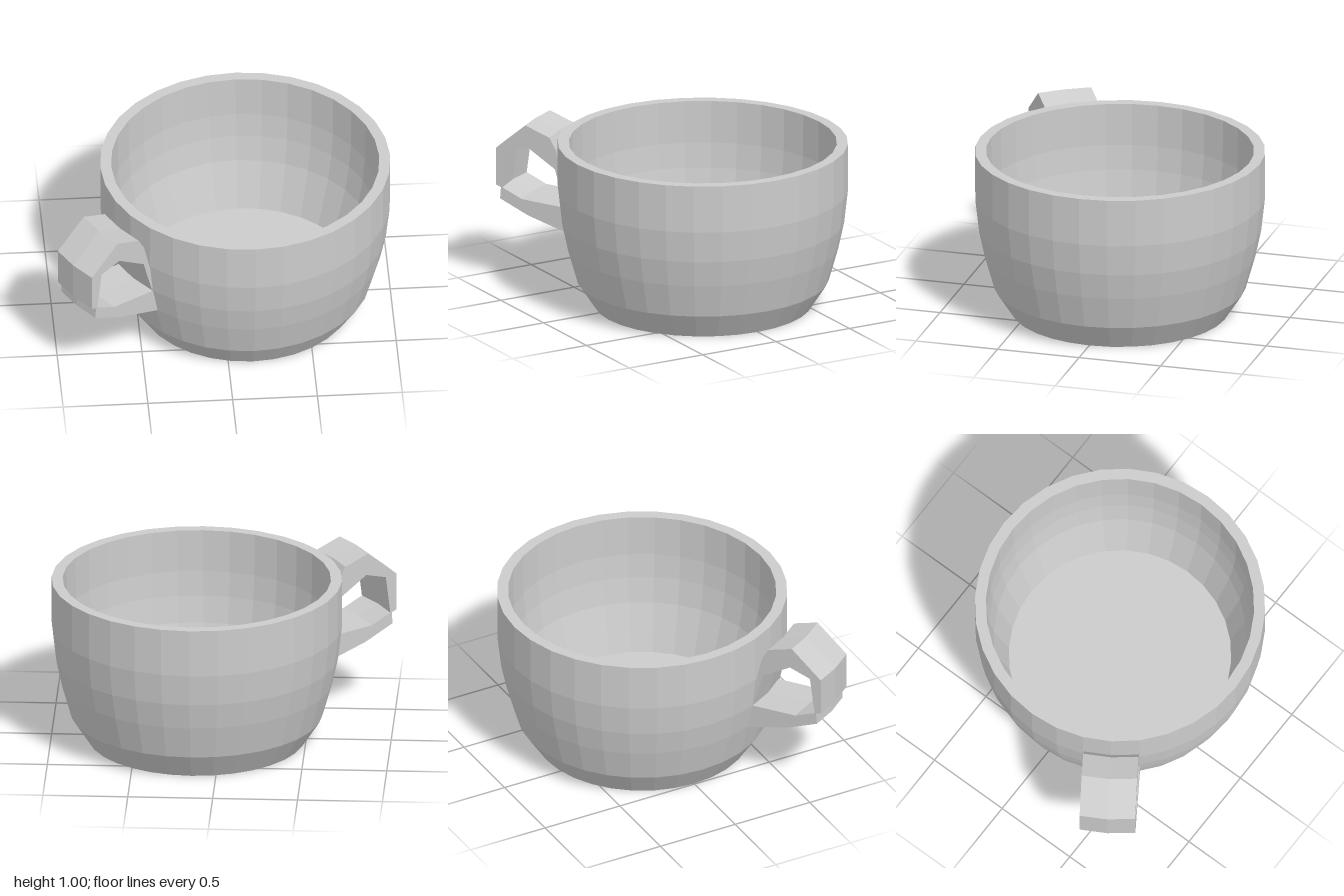
import * as THREE from 'three';

const v2 = (pairs) => pairs.map(([x, y]) => new THREE.Vector2(x, y));

export function createModel() {
  const model = new THREE.Group();
  model.name = 'cup';
  const material = new THREE.MeshStandardMaterial({ color: 0xcccccc, flatShading: true });

  // Bowl: outer wall upwards, flat rim, inner wall down to the deep floor
  const bowlProfile = v2([
    [0, 0], [0.64, 0], [0.742, 0.155], [0.8, 0.36], [0.834, 0.52], [0.855, 0.71], [0.855, 0.995],
    [0.79, 0.995], [0.787, 0.74], [0.773, 0.59], [0.745, 0.43], [0.655, 0.14], [0, 0.14],
  ]);
  const bowl = new THREE.Mesh(new THREE.LatheGeometry(bowlProfile, 32), material);
  bowl.name = 'bowl';
  bowl.position.x = 0.145;
  model.add(bowl);

  // Handle: angular loop (distance from the bowl axis, height), ends sunk in the wall
  const width = 0.327;
  const loop = new THREE.Shape(v2([
    [0.81, 0.71], [0.84, 0.71], [0.88, 0.87], [0.92, 0.94], [1.076, 0.993],
    [1.269, 0.83], [1.269, 0.602], [1.238, 0.59], [1.243, 0.52], [1.06, 0.44], [0.78, 0.36],
    [0.805, 0.52], [1.1, 0.535], [1.228, 0.59], [1.197, 0.82], [1.064, 0.86], [0.884, 0.75],
    [0.82, 0.527],
  ]));
  const handleGeometry = new THREE.ExtrudeGeometry(loop, { depth: width, steps: 2, bevelEnabled: false });
  handleGeometry.translate(0, 0, -width / 2);

  // Push the middle row out slightly so the handle follows the bowl's curve
  const pos = handleGeometry.attributes.position;
  for (let i = 0; i < pos.count; i++) {
    if (Math.abs(pos.getZ(i)) < 0.01) pos.setX(i, pos.getX(i) + 0.013);
  }
  handleGeometry.computeVertexNormals();

  const handle = new THREE.Mesh(handleGeometry, material);
  handle.name = 'handle';
  handle.position.set(0.145, 0, 0.004);
  handle.rotation.y = Math.PI * (1 + 3 / 16);
  model.add(handle);

  return model;
}
